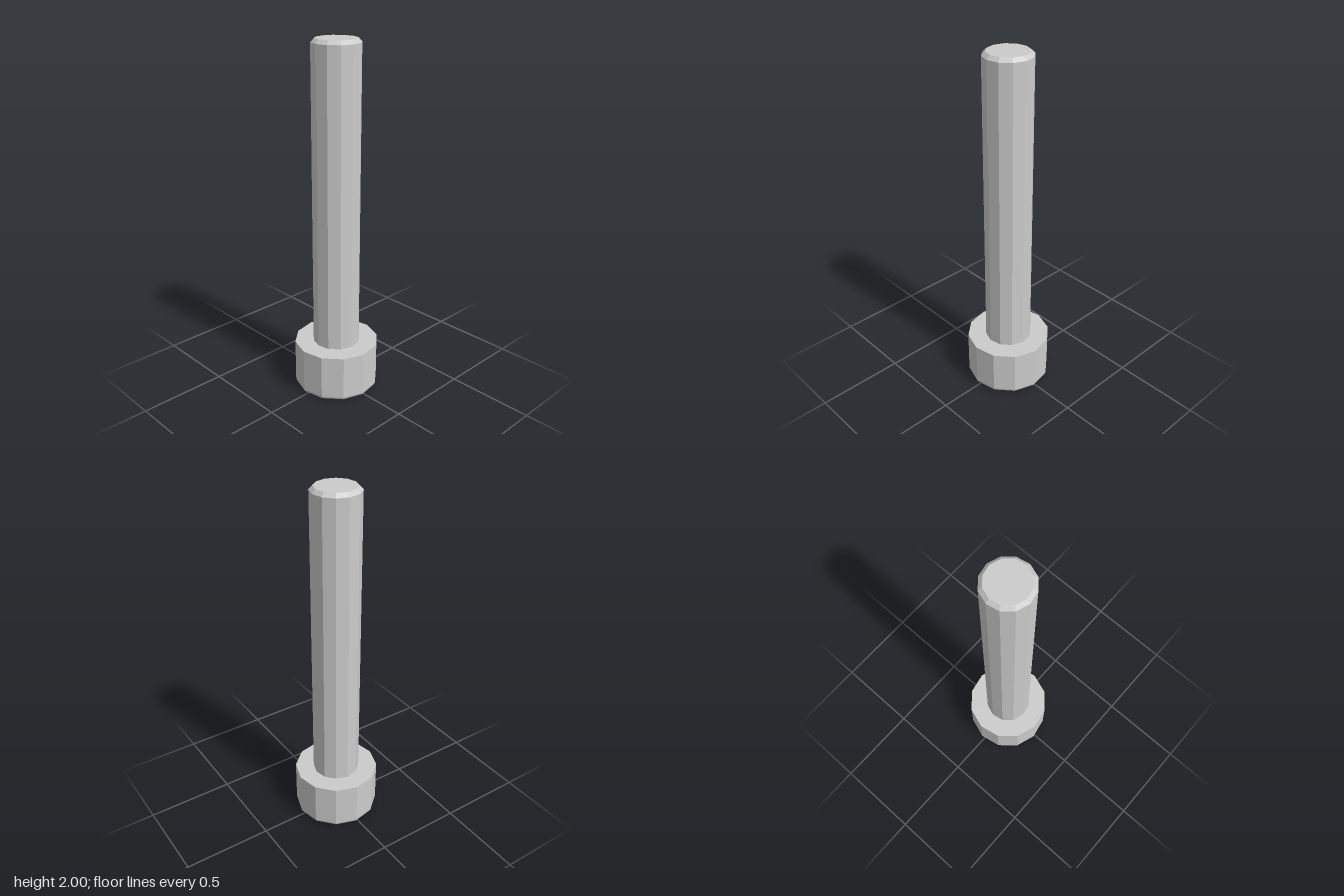
import * as THREE from 'three';

const SIDES = 12;
const TWIST = THREE.MathUtils.degToRad(-4);
const HEAD_R = 0.242, HEAD_H = 0.275, FILLET = 0.025;
const SHAFT_R = 0.134, TIP_R = 0.114, LENGTH = 2, CHAMFER = 0.02;
const SOCKET_R = 0.118, SOCKET_DEPTH = 0.14;

export function createModel() {
  const bolt = new THREE.Group();
  bolt.name = 'socketHeadBolt';
  const material = new THREE.MeshStandardMaterial({ color: 0xcccccc, flatShading: true });

  const add = (name, geometry) => {
    const mesh = new THREE.Mesh(geometry, material);
    mesh.name = name;
    bolt.add(mesh);
  };
  const lathe = (profile, sides, start = 0) =>
    new THREE.LatheGeometry(profile.map(([r, y]) => new THREE.Vector2(r, y)), sides, start);
  const polygon = (r, sides, start = 0) =>
    Array.from({ length: sides }, (_, i) => {
      const a = start + (i / sides) * Math.PI * 2;
      return new THREE.Vector2(r * Math.sin(a), r * Math.cos(a));
    });

  // Shaft with a chamfered tip
  add('shaft', lathe([
    [SHAFT_R, HEAD_H], [SHAFT_R, LENGTH - CHAMFER], [TIP_R, LENGTH], [0, LENGTH],
  ], SIDES));

  // Head: rounded lower rim, straight side, flat shoulder up to the shaft
  const headProfile = [];
  for (let i = 0; i <= 4; i++) {
    const a = (i / 4) * Math.PI / 2;
    headProfile.push([HEAD_R - FILLET + FILLET * Math.sin(a), FILLET - FILLET * Math.cos(a)]);
  }
  headProfile.push([HEAD_R, HEAD_H], [SHAFT_R, HEAD_H]);
  add('head', lathe(headProfile, SIDES));

  // Underside of the head, pierced by the hexagonal socket
  const face = new THREE.Shape(polygon(HEAD_R - FILLET, SIDES));
  face.holes.push(new THREE.Path(polygon(SOCKET_R, 6, Math.PI / 6)));
  add('headFace', new THREE.ShapeGeometry(face).rotateX(Math.PI / 2));

  // Socket floor and inward-facing walls
  add('hexSocket', lathe([
    [0, SOCKET_DEPTH], [SOCKET_R, SOCKET_DEPTH], [SOCKET_R, 0],
  ], 6, Math.PI / 6));

  bolt.rotation.y = TWIST;
  return bolt;
}
